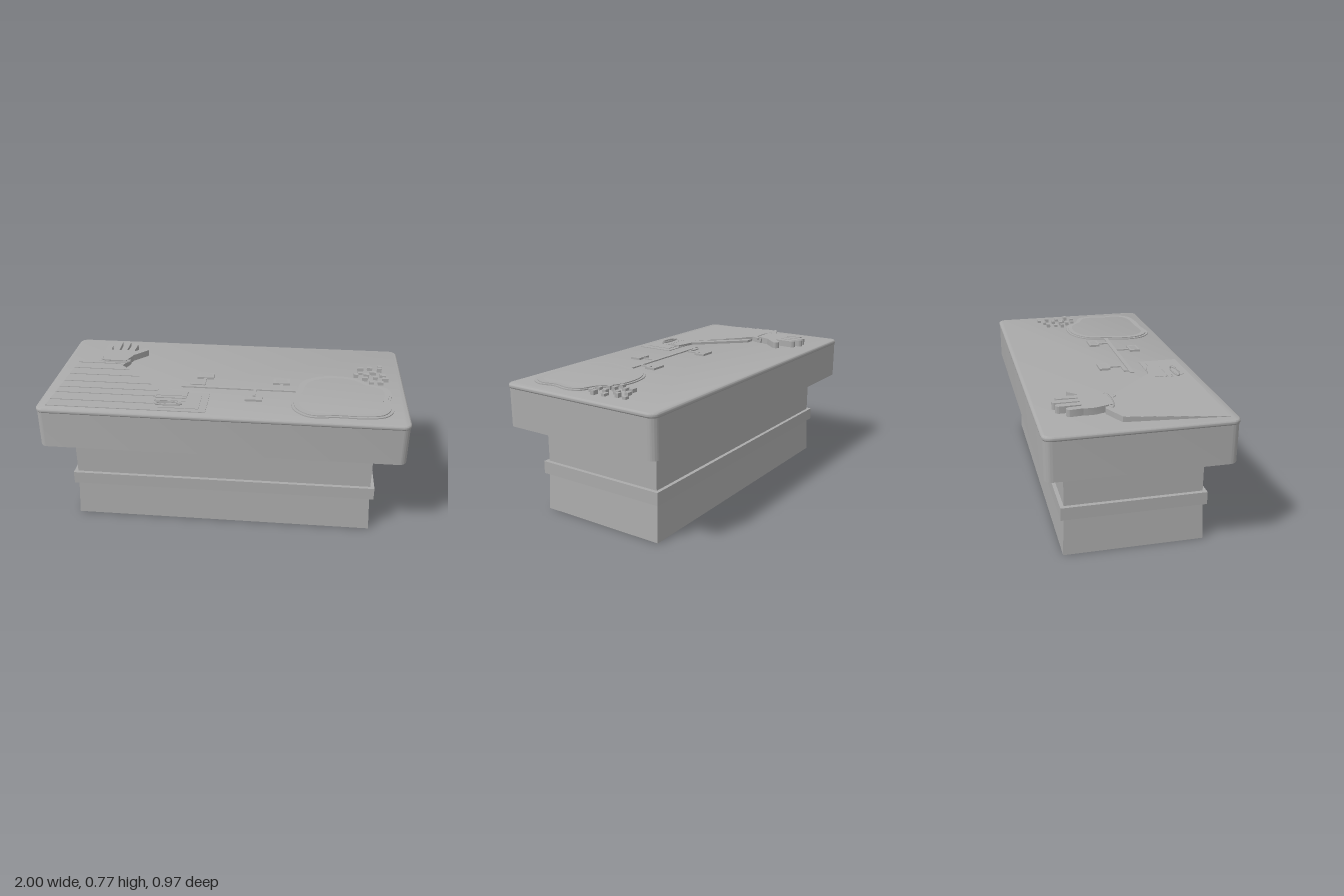
import * as THREE from 'three';
import { toCreasedNormals } from 'three/addons/utils/BufferGeometryUtils.js';

const TOP = 0.738;

export function createModel() {
  const model = new THREE.Group();
  const stone = new THREE.MeshStandardMaterial({ color: 0xaaaaaa });
  stone.name = 'grey stone';

  const add = (name, geometry, parent = model) => {
    const mesh = new THREE.Mesh(geometry, stone);
    mesh.name = name;
    parent.add(mesh);
    return mesh;
  };
  const group = (name) => {
    const g = new THREE.Group();
    g.name = name;
    model.add(g);
    return g;
  };
  const box = (name, x0, x1, y0, y1, z0, z1, parent) => {
    const g = new THREE.BoxGeometry(x1 - x0, y1 - y0, z1 - z0);
    g.translate((x0 + x1) / 2, (y0 + y1) / 2, (z0 + z1) / 2);
    return add(name, g, parent);
  };
  // Plan outline given as [x, z] pairs
  const plan = (pts, Type = THREE.Shape) => new Type(pts.map(([x, z]) => new THREE.Vector2(x, -z)));
  // Upright prism over a plan shape
  const prism = (name, shape, y0, y1, parent, bevel = 0) => {
    let g = new THREE.ExtrudeGeometry(shape, {
      depth: y1 - y0 - 2 * bevel, curveSegments: 8, bevelEnabled: bevel > 0,
      bevelThickness: bevel, bevelSize: bevel, bevelOffset: -bevel, bevelSegments: 4,
    });
    g.rotateX(-Math.PI / 2).translate(0, y0 + bevel, 0);
    return add(name, toCreasedNormals(g, 0.6), parent);
  };
  const roundedRect = (w, d, r) => {
    const s = new THREE.Shape();
    s.absarc(w - r, d - r, r, 0, Math.PI / 2);
    s.absarc(r - w, d - r, r, Math.PI / 2, Math.PI);
    s.absarc(r - w, r - d, r, Math.PI, Math.PI * 1.5);
    s.absarc(w - r, r - d, r, Math.PI * 1.5, Math.PI * 2);
    return s;
  };

  // Pedestal: flared foot, band and neck
  const foot = new THREE.BoxGeometry(1.69, 0.215, 0.75);
  const p = foot.attributes.position;
  for (let i = 0; i < p.count; i++) {
    if (p.getY(i) > 0) p.setXYZ(i, p.getX(i) * 0.986, p.getY(i), p.getZ(i) * 0.98);
  }
  foot.computeVertexNormals();
  add('foot', foot.translate(0, 0.1075, 0));
  box('band', -0.855, 0.855, 0.21, 0.28, -0.385, 0.385);
  box('neck', -0.833, 0.833, 0.275, 0.51, -0.365, 0.365);

  // Table slab with a rounded lip
  prism('slab', roundedRect(0.996, 0.481, 0.045), 0.505, 0.725);
  prism('slabLip', roundedRect(1, 0.485, 0.047), 0.71, TOP, model, 0.012);

  // Robe in terraces climbing towards the back
  const robe = group('robe');
  const leftEdge = (z) => -0.902 - 0.09 * (z + 0.09);
  const rightEdge = (z) => Math.min(-0.37, -0.58 + z);
  const steps = [0.44, 0.37, 0.29, 0.23, 0.16, 0.075, 0, -0.07];
  steps.forEach((z, i) => {
    const pts = [[leftEdge(z), z], [rightEdge(z), z]];
    if (z > 0.21) pts.push([-0.37, 0.21]);
    pts.push([-0.63, -0.05], [-0.6, -0.13], [-0.79, -0.14], [-0.902, -0.085]);
    prism('robeTerrace', plan(pts), TOP - 0.003, TOP + 0.004 + i * 0.0037, robe);
  });

  // Slanting forearm with a stepped cuff and tablet
  const arm = group('forearm');
  prism('forearmSleeve', plan([[-0.63, -0.05], [-0.57, -0.05], [-0.31, 0.21], [-0.2, 0.23],
    [-0.2, 0.28], [-0.37, 0.28], [-0.37, 0.21]]), TOP - 0.003, TOP + 0.014, arm);
  for (let i = 0; i < 4; i++) {
    box('cuffFold', -0.37, -0.2, TOP - 0.002, TOP + 0.013 - i * 0.002, 0.25 + i * 0.03, 0.272 + i * 0.03, arm);
  }
  box('tabletBase', -0.38, -0.08, TOP - 0.002, TOP + 0.004, 0.22, 0.44, arm);
  box('tabletTop', -0.34, -0.12, TOP - 0.002, TOP + 0.007, 0.25, 0.41, arm);

  // Oval rings at the two wrists
  const ring = (name, x, y, z, rx, rz, t) => {
    const g = new THREE.TorusGeometry(1, t, 6, 32).rotateX(Math.PI / 2);
    add(name, g.scale(rx, 0.06, rz).translate(x, y, z));
  };
  ring('raisedWristRing', -0.69, 0.767, -0.105, 0.085, 0.02, 0.14);
  ring('loweredWristRing', -0.29, 0.748, 0.37, 0.068, 0.018, 0.12);

  // Open hand: palm, four fingers and thumb
  const hand = group('hand');
  prism('palm', plan([[-0.755, -0.1], [-0.785, -0.19], [-0.785, -0.25], [-0.6, -0.25],
    [-0.59, -0.21], [-0.6, -0.16], [-0.625, -0.1]]), TOP - 0.003, 0.775, hand);
  const finger = (name, x0, z0, x1, z1, r) => {
    const a = Math.atan2(z0 - z1, x1 - x0);
    const s = new THREE.Shape();
    s.absarc(x1, -z1, r, a - Math.PI / 2, a + Math.PI / 2);
    s.absarc(x0, -z0, r, a + Math.PI / 2, a + Math.PI * 1.5);
    prism(name, s, TOP - 0.003, 0.775, hand);
  };
  [[-0.762, -0.77, -0.315], [-0.715, -0.718, -0.36], [-0.668, -0.668, -0.37], [-0.622, -0.617, -0.345]]
    .forEach(([x0, x1, z]) => finger('finger', x0, -0.23, x1, z, 0.018));
  finger('thumb', -0.615, -0.19, -0.54, -0.27, 0.021);

  // Path with branches ending in framed squares
  const path = group('path');
  const y1 = TOP + 0.007;
  box('mainPath', -0.25, 0.4, TOP - 0.002, y1, 0.125, 0.148, path);
  box('branch', -0.139, -0.121, TOP - 0.002, y1, 0.03, 0.113, path);
  box('branch', -0.22, -0.121, TOP - 0.002, y1, 0.097, 0.113, path);
  box('branch', -0.22, -0.204, TOP - 0.002, y1, 0.097, 0.13, path);
  box('branch', 0.303, 0.32, TOP - 0.002, y1, 0.06, 0.13, path);
  box('branch', 0.157, 0.173, TOP - 0.002, y1, 0.14, 0.225, path);
  [[-0.128, 0], [0.31, 0.035], [0.165, 0.252]].forEach(([x, z]) => {
    const rect = (w, d) => [[x - w, z - d], [x + w, z - d], [x + w, z + d], [x - w, z + d]];
    const frame = plan(rect(0.047, 0.031));
    frame.holes.push(plan(rect(0.032, 0.019), THREE.Path));
    prism('squareFrame', frame, TOP - 0.002, TOP + 0.012, path);
  });

  // Pool with a two-step wavy rim
  const pool = group('pool');
  const shore = [[0.4, 0.13], [0.425, 0.02], [0.52, -0.055], [0.65, -0.072], [0.74, -0.045],
    [0.81, 0.02], [0.9, 0.06], [0.923, 0.13], [0.905, 0.23], [0.92, 0.32], [0.87, 0.4],
    [0.75, 0.425], [0.62, 0.425], [0.47, 0.435], [0.39, 0.37], [0.37, 0.27]];
  const curve = new THREE.CatmullRomCurve3(shore.map(([x, z]) => new THREE.Vector3(x, 0, z)), true);
  const blob = (s, n) => curve.getPoints(n).slice(0, -1)
    .map((v) => [0.645 + (v.x - 0.645) * s, 0.18 + (v.z - 0.18) * s]);
  [[1, 0.93, 0.006], [0.95, 0.855, 0.011]].forEach(([outer, inner, h]) => {
    const s = plan(blob(outer, 64));
    s.holes.push(plan(blob(inner, 32), THREE.Path));
    prism('poolRim', s, TOP - 0.002, TOP + h, pool);
  });

  // Scattered pebble blocks beside the pool
  const pebbles = group('pebbles');
  [[0.88, -0.22], [0.82, -0.19], [0.765, -0.175], [0.875, -0.17], [0.76, -0.125], [0.835, -0.13],
    [0.735, -0.085], [0.795, -0.085], [0.89, -0.1], [0.845, -0.065], [0.785, -0.045], [0.9, -0.04],
    [0.82, -0.005], [0.87, 0]].forEach(([x, z], i) => {
    const w = 0.013 + (i % 3) * 0.002;
    box('pebble', x - w, x + w, TOP - 0.002, TOP + 0.014 + (i % 4) * 0.003, z - 0.011, z + 0.011, pebbles);
  });

  return model;
}
